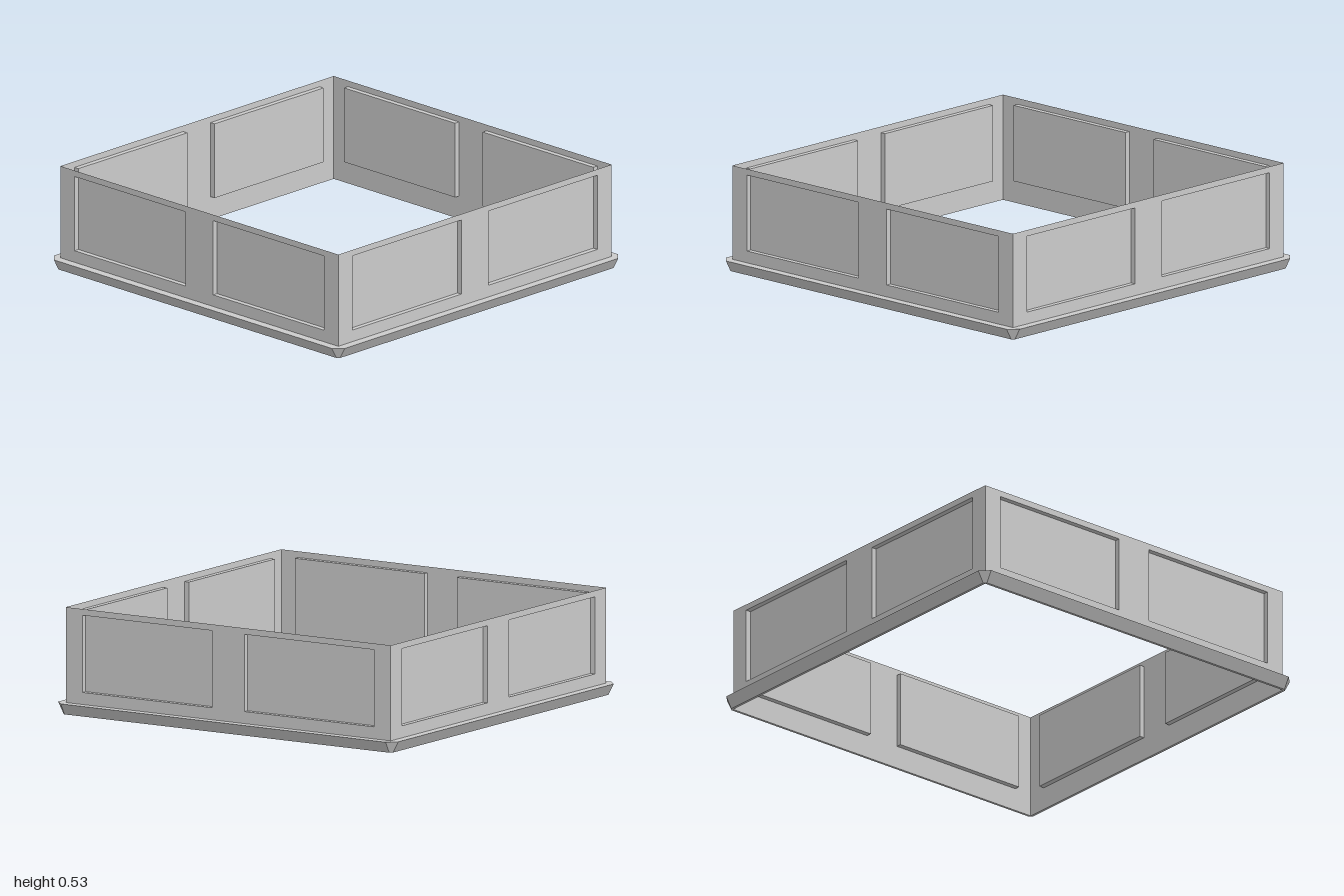
import * as THREE from 'three';

const HALF = 0.955;    // centre to wall
const HEIGHT = 0.532;
const DEPTH = 0.027;   // panel recess
const PANEL = { x: 0.476, y: 0.309, w: 0.762, h: 0.384 };

const material = new THREE.MeshStandardMaterial({
  color: 0xcccccc, flatShading: true, side: THREE.DoubleSide,
});

function add(parent, name, geometry, x = 0, y = 0, z = 0) {
  const mesh = new THREE.Mesh(geometry, material);
  mesh.name = name;
  mesh.position.set(x, y, z);
  parent.add(mesh);
  return mesh;
}

function rectangle(PathType, x0, y0, x1, y1) {
  return new PathType([[x0, y0], [x1, y0], [x1, y1], [x0, y1]].map(([x, y]) => new THREE.Vector2(x, y)));
}

// Thin wall with two openings, each backed by a recessed panel
function createWall() {
  const wall = new THREE.Group();
  const { x, y, w, h } = PANEL;
  const sheet = rectangle(THREE.Shape, -HALF, 0, HALF, HEIGHT);
  for (const s of [-1, 1]) {
    const cx = s * x;
    sheet.holes.push(rectangle(THREE.Path, cx - w / 2, y - h / 2, cx + w / 2, y + h / 2));
    add(wall, 'recessedPanel', new THREE.PlaneGeometry(w, h), cx, y, HALF - DEPTH);
    // Edges of the recess
    for (const t of [-1, 1]) {
      add(wall, 'recessSide', new THREE.PlaneGeometry(DEPTH, h), cx + t * w / 2, y, HALF - DEPTH / 2)
        .rotation.y = -t * Math.PI / 2;
      add(wall, 'recessEdge', new THREE.PlaneGeometry(w, DEPTH), cx, y + t * h / 2, HALF - DEPTH / 2)
        .rotation.x = t * Math.PI / 2;
    }
  }
  add(wall, 'wallSheet', new THREE.ShapeGeometry(sheet), 0, 0, HALF);
  return wall;
}

// Base trim: chamfered square rings joined in a loop, sloping in towards the bottom
function createTrim() {
  const rings = [[HALF, 0], [0.968, 0], [1, 0.057], [HALF, 0.057]];
  const positions = [];
  const index = [];
  for (const [o, y] of rings) {
    const c = HALF;
    for (const [x, z] of [[c, o], [o, c], [o, -c], [c, -o], [-c, -o], [-o, -c], [-o, c], [-c, o]]) {
      positions.push(x, y, z);
    }
  }
  for (let r = 0; r < rings.length - 1; r++) {
    for (let i = 0; i < 8; i++) {
      const j = (i + 1) % 8;
      const a = r * 8 + i, b = r * 8 + j, c = a + 8, d = b + 8;
      // Inner rings are plain squares, so their corners need one triangle only
      const corner = i % 2 === 0;
      if (!(corner && r === 0)) index.push(a, b, d);
      if (!(corner && r === 2)) index.push(a, d, c);
      else index[index.length - 1] = c;
    }
  }
  const indexed = new THREE.BufferGeometry();
  indexed.setAttribute('position', new THREE.Float32BufferAttribute(positions, 3));
  indexed.setIndex(index);
  const geometry = indexed.toNonIndexed();
  geometry.computeVertexNormals();
  return geometry;
}

export function createModel() {
  const model = new THREE.Group();
  model.name = 'panelledFrame';
  ['frontWall', 'leftWall', 'backWall', 'rightWall'].forEach((name, i) => {
    const wall = createWall();
    wall.name = name;
    wall.rotation.y = i * Math.PI / 2;
    model.add(wall);
  });
  add(model, 'baseTrim', createTrim());
  return model;
}
